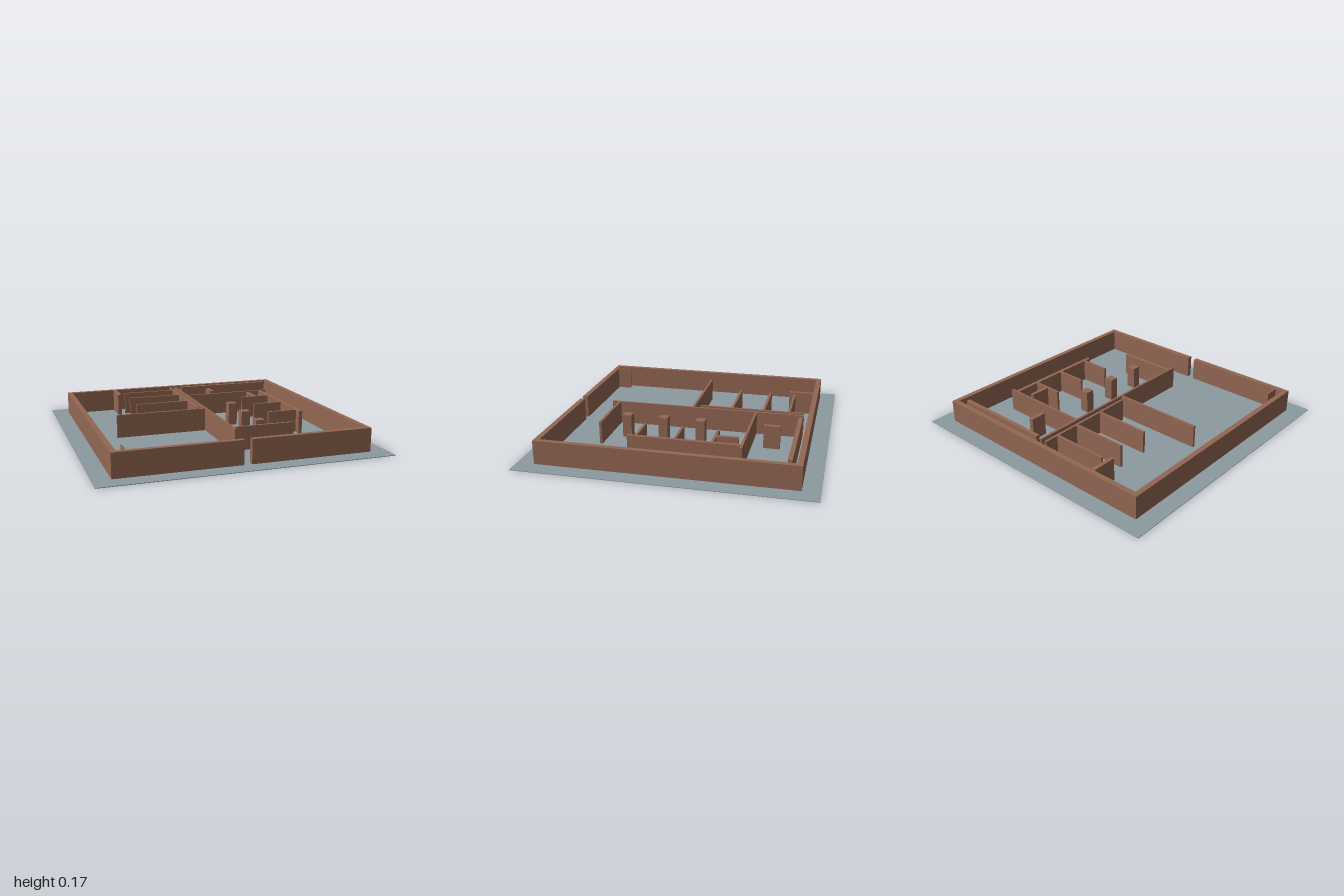
import * as THREE from 'three';

const FLOOR = 0.004;
const HEIGHT = 0.17;

export function createModel() {
  const model = new THREE.Group();
  const brick = new THREE.MeshStandardMaterial({ color: 0x936753 });
  brick.name = 'brick brown';
  const slate = new THREE.MeshStandardMaterial({ color: 0x8c9ba1 });
  slate.name = 'slate grey';

  // box spanning a plan rectangle between two heights
  function block(parent, name, material, x0, x1, z0, z1, y0 = FLOOR, y1 = HEIGHT) {
    const mesh = new THREE.Mesh(new THREE.BoxGeometry(x1 - x0, y1 - y0, z1 - z0), material);
    mesh.position.set((x0 + x1) / 2, (y0 + y1) / 2, (z0 + z1) / 2);
    mesh.name = name;
    parent.add(mesh);
  }
  function group(name) {
    const g = new THREE.Group();
    g.name = name;
    model.add(g);
    return g;
  }

  block(model, 'groundSlab', slate, -1, 1, -1, 1, 0, FLOOR);

  // outer walls with the entrance gap at the front
  const outer = group('outerWalls');
  block(outer, 'backWall', brick, -0.88, 0.88, -0.88, -0.843);
  block(outer, 'rightWall', brick, -0.88, -0.843, -0.843, 0.843);
  block(outer, 'leftWall', brick, 0.843, 0.88, -0.843, 0.843);
  block(outer, 'frontWallRight', brick, -0.88, -0.029, 0.843, 0.88);
  block(outer, 'frontWallLeft', brick, 0.024, 0.88, 0.843, 0.88);

  // corridor walls running front to back
  const corridor = group('corridorWalls');
  block(corridor, 'corridorWallRight', brick, -0.043, -0.025, -0.81, -0.047);
  block(corridor, 'corridorWallLeft', brick, 0.005, 0.022, -0.81, 0.62);

  // right-hand rooms
  const rightRooms = group('rightRoomWalls');
  for (const z of [-0.703, -0.518, -0.286])
    block(rightRooms, 'roomDivider', brick, -0.445, -0.043, z - 0.009, z + 0.009);
  block(rightRooms, 'hallDivider', brick, -0.658, 0.005, -0.011, 0.007);
  block(rightRooms, 'backStub', brick, -0.509, -0.482, -0.843, -0.66);
  block(rightRooms, 'frontStub', brick, -0.791, -0.779, 0.737, 0.843);

  // left-hand rooms
  const leftRooms = group('leftRoomWalls');
  block(leftRooms, 'backScreen', brick, 0.058, 0.803, -0.81, -0.78);
  block(leftRooms, 'backDivider', brick, 0.022, 0.691, -0.477, -0.46);
  block(leftRooms, 'frontDivider', brick, 0.022, 0.455, 0.555, 0.573);
  block(leftRooms, 'stallSpine', brick, 0.626, 0.653, -0.46, 0.306);
  for (const z of [-0.271, -0.02, 0.248])
    block(leftRooms, 'stallDivider', brick, 0.406, 0.626, z - 0.009, z + 0.009);
  block(leftRooms, 'stallStub', brick, 0.507, 0.534, -0.428, -0.28);

  // free-standing pillars
  const pillars = group('pillars');
  block(pillars, 'backPier', brick, 0.241, 0.274, -0.675, -0.56);
  for (const z of [-0.113, 0.155, 0.422])
    block(pillars, 'pillar', brick, 0.225, 0.291, z - 0.033, z + 0.033);

  return model;
}
